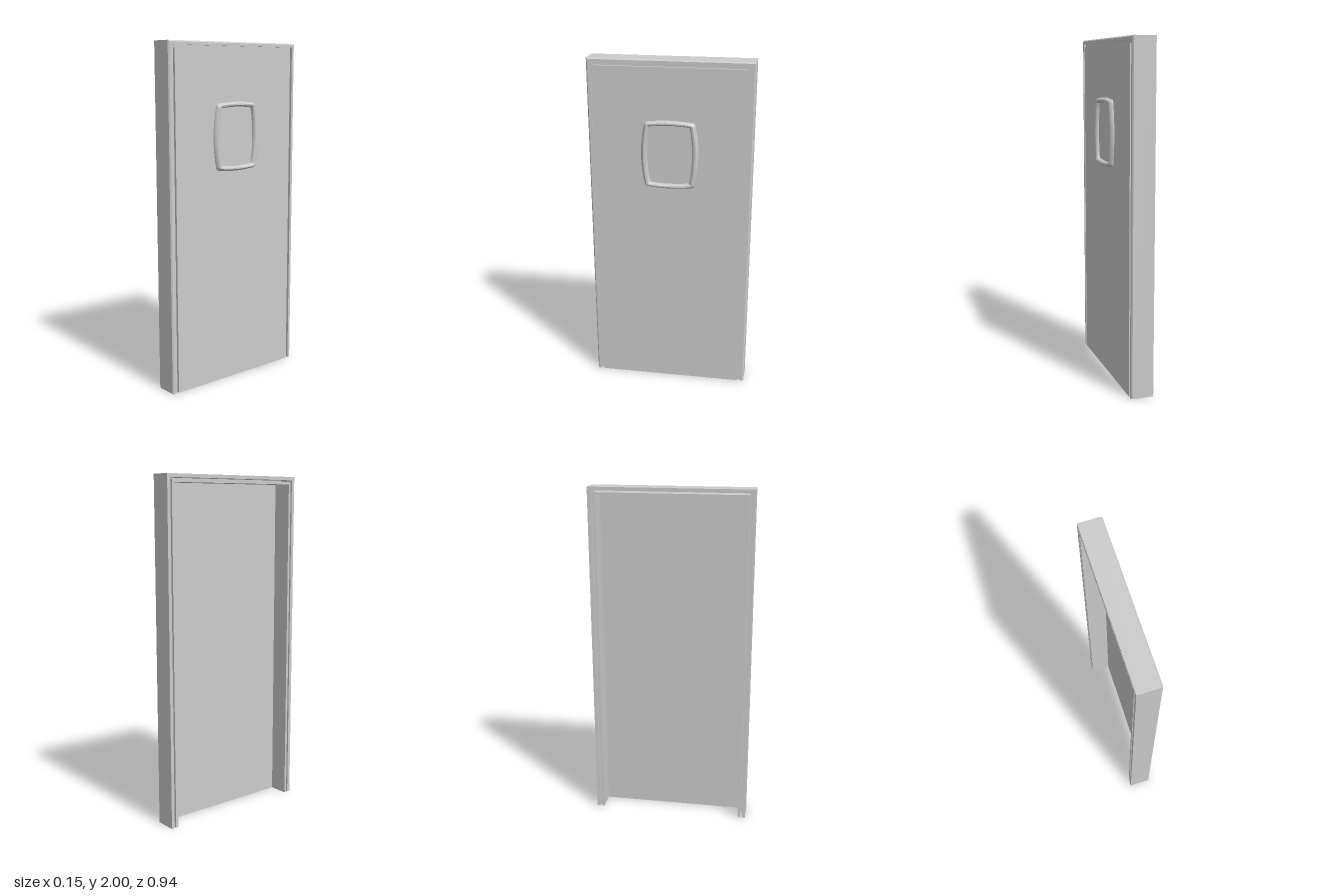
import * as THREE from 'three';
import { toCreasedNormals } from 'three/addons/utils/BufferGeometryUtils.js';

const material = new THREE.MeshStandardMaterial({ color: 0xcccccc });

// Skins a list of closed loops; optional cap triangles close both ends.
function skin(loops, crease, cap = []) {
  const n = loops[0].length;
  const index = [];
  for (let i = 0; i < loops.length - 1; i++) {
    for (let j = 0; j < n; j++) {
      const k = (j + 1) % n;
      const a = i * n + j, b = i * n + k, c = b + n, d = a + n;
      index.push(a, b, c, a, c, d);
    }
  }
  const last = (loops.length - 1) * n;
  for (const [a, b, c] of cap) index.push(a, c, b, last + a, last + b, last + c);
  const geometry = new THREE.BufferGeometry().setFromPoints(loops.flat());
  geometry.setIndex(index);
  return toCreasedNormals(geometry, crease);
}

// Rounded rectangle with bowed sides, in (z, y) around the window centre.
function bowedContour(w, h, bowW, bowH, r) {
  const s = new THREE.Shape();
  s.moveTo(-w + r, h);
  s.quadraticCurveTo(0, h + 2 * bowH, w - r, h);
  s.quadraticCurveTo(w, h, w, h - r);
  s.quadraticCurveTo(w + 2 * bowW, 0, w, -h + r);
  s.quadraticCurveTo(w, -h, w - r, -h);
  s.quadraticCurveTo(0, -h - 2 * bowH, -w + r, -h);
  s.quadraticCurveTo(-w, -h, -w, -h + r);
  s.quadraticCurveTo(-w - 2 * bowW, 0, -w, h - r);
  s.quadraticCurveTo(-w, h, -w + r, h);
  const points = s.getPoints(10);
  points.pop();
  return points;
}

export function createModel() {
  const group = new THREE.Group();
  const add = (name, geometry) => {
    const mesh = new THREE.Mesh(geometry, material);
    mesh.name = name;
    group.add(mesh);
    return mesh;
  };

  // Frame: slotted jamb section (inset, x) mitred round both sides and the top
  const profile = [
    [0, -0.077], [0.02, -0.077], [0.02, 0.015], [0.03, 0.015], [0.03, -0.077],
    [0.045, -0.077], [0.045, 0.04], [0.023, 0.04], [0.023, 0.055],
    [0.007, 0.055], [0, 0.048],
  ].map(([d, x]) => new THREE.Vector2(d, x));
  const stations = [[-1, 0], [-1, 1], [1, 1], [1, 0]];
  const frameLoops = stations.map(([side, top]) => profile.map(
    (p) => new THREE.Vector3(p.y, top * (2 - p.x), side * (0.47 - p.x))));
  add('doorFrame', skin(frameLoops, 0.3, THREE.ShapeUtils.triangulateShape(profile, [])));

  // Door leaf, separated from the frame by a narrow groove
  const panel = add('doorPanel', new THREE.BoxGeometry(0.015, 1.96, 0.86));
  panel.position.set(0.0475, 0.98, 0);

  // Window surround: concentric contours from the outer wall to the inner edge
  const centreY = 1.464;
  const outer = bowedContour(0.148, 0.192, 0.018, 0.008, 0.026);
  const inner = bowedContour(0.114, 0.164, 0.014, 0.007, 0.006);
  const section = [
    [0, 0.045], [0, 0.056], [0.08, 0.064], [0.25, 0.073], [0.4, 0.077],
    [0.65, 0.077], [0.8, 0.074], [0.93, 0.066], [1, 0.055], [1, 0.05],
  ];
  const ringLoops = section.map(([t, x]) => outer.map((p, i) => {
    const q = p.clone().lerp(inner[i], t);
    return new THREE.Vector3(x, centreY + q.y, q.x);
  }));
  add('windowSurround', skin(ringLoops, 0.6));

  // Pane inside the surround, almost flush with the leaf
  const pane = add('windowPane', new THREE.ShapeGeometry(new THREE.Shape(inner)));
  pane.rotation.y = Math.PI / 2;
  pane.position.set(0.0555, centreY, 0);

  return group;
}
